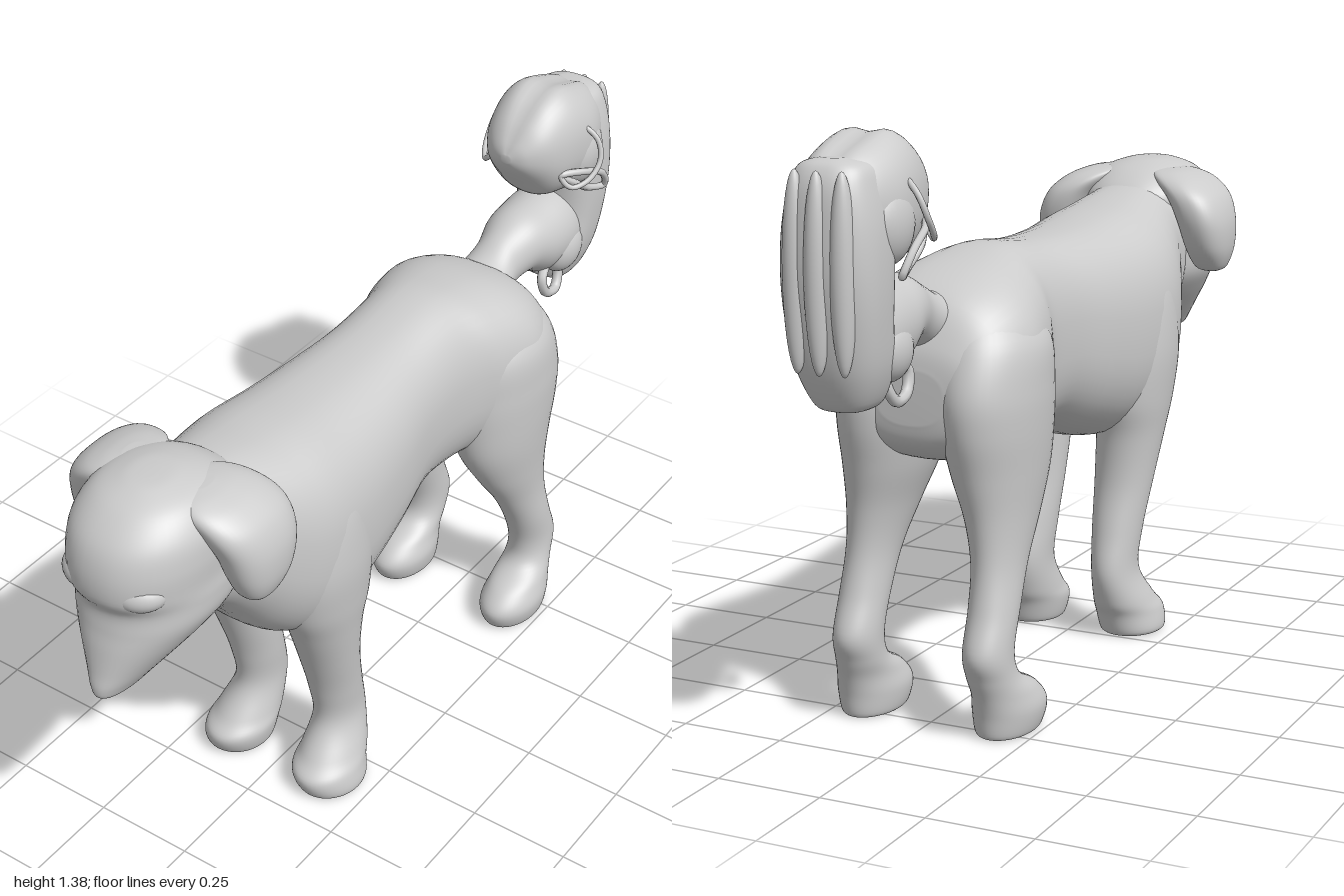
import * as THREE from 'three';

const material = new THREE.MeshStandardMaterial({ color: 0xcccccc, side: THREE.DoubleSide });

// Smooth value between rows i and i+1 of one column
function spline(rows, i, f, k) {
  const at = (n) => rows[Math.min(rows.length - 1, Math.max(0, n))][k];
  const a = at(i - 1), b = at(i), c = at(i + 1), d = at(i + 2);
  return b + 0.5 * f * (c - a + f * (2 * a - 5 * b + 4 * c - d + f * (3 * (b - c) + d - a)));
}

// Closed skin through oval sections along 'y' or 'z', given in ascending order.
// Row: [position along axis, low, high (z or y), x low, x high]
// power below 1 squares the oval; groove dents the middle of the high side
function loft(axis, rows, { power = 1, groove = 0 } = {}) {
  const sides = 48, steps = 6, pos = [], index = [];
  const put = (x, v, t) => (axis === 'y' ? pos.push(x, t, v) : pos.push(x, v, t));
  const shape = (n) => Math.sign(n) * Math.abs(n) ** power;
  const rings = (rows.length - 1) * steps + 1;
  for (let r = 0; r < rings; r++) {
    const i = Math.min(rows.length - 2, Math.floor(r / steps)), f = r / steps - i;
    const [t, v0, v1, x0, x1] = [0, 1, 2, 3, 4].map((k) => spline(rows, i, f, k));
    for (let j = 0; j < sides; j++) {
      const a = (j / sides) * Math.PI * 2;
      const s = 1 - groove * Math.max(0, Math.sin(a)) ** 40;
      put((x0 + x1) / 2 + ((x1 - x0) / 2) * shape(Math.cos(a)),
        (v0 + v1) / 2 + ((v1 - v0) / 2) * shape(Math.sin(a)) * s, t);
    }
  }
  const face = (a, b, c) => (axis === 'y' ? index.push(a, c, b) : index.push(a, b, c));
  for (let r = 0; r < rings - 1; r++) {
    for (let j = 0; j < sides; j++) {
      const a = r * sides + j, b = r * sides + ((j + 1) % sides);
      face(a, b, a + sides);
      face(b, b + sides, a + sides);
    }
  }
  // end caps
  const last = (rings - 1) * sides, c0 = rings * sides;
  for (const row of [rows[0], rows[rows.length - 1]]) {
    put((row[3] + row[4]) / 2, (row[1] + row[2]) / 2, row[0]);
  }
  for (let j = 0; j < sides; j++) {
    const n = (j + 1) % sides;
    face(c0, n, j);
    face(c0 + 1, last + j, last + n);
  }
  const g = new THREE.BufferGeometry();
  g.setAttribute('position', new THREE.Float32BufferAttribute(pos, 3));
  g.setIndex(index);
  g.computeVertexNormals();
  return g;
}

const centred = (rows) => rows.map(([t, a, b, w]) => [t, a, b, -w, w]);
const sided = (rows, s) => rows.map(([t, a, b, x0, x1]) => (s > 0 ? [t, a, b, x0, x1] : [t, a, b, -x1, -x0]));

export function createModel() {
  const model = new THREE.Group();
  const add = (name, geometry) => {
    const mesh = new THREE.Mesh(geometry, material);
    mesh.name = name;
    model.add(mesh);
    return mesh;
  };
  const ball = (name, size, place) => {
    const mesh = add(name, new THREE.SphereGeometry(1, 28, 18));
    mesh.scale.set(...size);
    mesh.position.set(...place);
    return mesh;
  };

  // Trunk from rump over a deep chest to the neck
  add('body', loft('z', centred([
    [-0.59, 0.72, 0.84, 0.08], [-0.575, 0.67, 0.9, 0.15], [-0.52, 0.63, 0.99, 0.2], [-0.42, 0.61, 1.04, 0.233],
    [-0.3, 0.6, 1.065, 0.21], [-0.2, 0.6, 1.075, 0.175], [-0.05, 0.61, 1.06, 0.173], [0.1, 0.56, 1.055, 0.197],
    [0.25, 0.52, 1.06, 0.217], [0.38, 0.52, 1.075, 0.225], [0.46, 0.53, 1.085, 0.215], [0.53, 0.585, 1.098, 0.19],
    [0.6, 0.675, 1.112, 0.16], [0.68, 0.755, 1.13, 0.14], [0.8, 0.8, 1.1, 0.08],
  ]), { power: 0.82 }));

  // Head with brow and drooping muzzle
  add('head', loft('y', centred([
    [0.69, 0.86, 0.96, 0.015], [0.695, 0.8, 0.993, 0.035], [0.72, 0.74, 1.0, 0.055], [0.76, 0.69, 0.992, 0.085],
    [0.82, 0.62, 0.98, 0.128], [0.87, 0.58, 0.968, 0.156], [0.92, 0.57, 0.962, 0.163], [0.965, 0.56, 0.983, 0.162],
    [1.03, 0.56, 0.98, 0.165], [1.09, 0.57, 0.955, 0.157], [1.14, 0.63, 0.9, 0.12], [1.165, 0.7, 0.84, 0.06],
    [1.17, 0.75, 0.8, 0.015],
  ]), { power: 0.92 }));

  for (const s of [1, -1]) {
    const side = s > 0 ? 'left' : 'right';

    // Soft brow above the eye hollow
    ball(side + 'Brow', [0.06, 0.04, 0.045], [s * 0.075, 0.975, 0.92]).rotation.y = s * 0.5;

    // Hanging ear flap
    add(side + 'Ear', loft('y', sided([
      [0.888, 0.67, 0.71, 0.2, 0.225], [0.9, 0.64, 0.74, 0.17, 0.245], [0.95, 0.6, 0.765, 0.15, 0.262],
      [1.02, 0.577, 0.785, 0.13, 0.262], [1.08, 0.577, 0.805, 0.1, 0.24], [1.12, 0.6, 0.81, 0.06, 0.198],
      [1.142, 0.64, 0.79, 0.04, 0.15], [1.15, 0.69, 0.75, 0.06, 0.11],
    ], s), { power: 0.82 }));

    // Front leg from paw to shoulder
    add(side + 'FrontLeg', loft('y', sided([
      [0.005, 0.27, 0.41, 0.075, 0.185], [0.012, 0.25, 0.435, 0.06, 0.22], [0.06, 0.235, 0.448, 0.05, 0.215],
      [0.1, 0.215, 0.41, 0.055, 0.2], [0.18, 0.2, 0.355, 0.062, 0.175], [0.28, 0.22, 0.365, 0.055, 0.18],
      [0.4, 0.245, 0.4, 0.048, 0.195], [0.52, 0.245, 0.445, 0.045, 0.212], [0.62, 0.225, 0.485, 0.05, 0.226],
      [0.75, 0.23, 0.5, 0.06, 0.234], [0.9, 0.27, 0.46, 0.07, 0.215], [0.98, 0.3, 0.42, 0.09, 0.16],
    ], s)));

    // Hind leg from paw over hock to thigh
    add(side + 'HindLeg', loft('y', sided([
      [0.005, -0.54, -0.37, 0.12, 0.225], [0.012, -0.555, -0.345, 0.105, 0.24], [0.06, -0.562, -0.33, 0.097, 0.25],
      [0.105, -0.573, -0.37, 0.105, 0.24], [0.15, -0.59, -0.45, 0.11, 0.225], [0.21, -0.608, -0.465, 0.11, 0.22],
      [0.3, -0.575, -0.435, 0.108, 0.22], [0.4, -0.553, -0.38, 0.1, 0.218], [0.5, -0.555, -0.31, 0.075, 0.225],
      [0.6, -0.575, -0.255, 0.04, 0.235], [0.7, -0.598, -0.235, 0.02, 0.242], [0.79, -0.6, -0.23, 0.01, 0.243],
      [0.89, -0.565, -0.24, 0.01, 0.232], [0.97, -0.51, -0.29, 0.03, 0.18],
    ], s)));

    // Small rounded swellings beside the tail end
    ball(side + 'TailCheek', [0.055, 0.09, 0.08], [s * 0.075, 1.2, -0.82]);
    ball(side + 'TailSwelling', [0.05, 0.07, 0.07], [s * 0.06, 0.93, -0.79]);

    // Thin straps looping out from the tail end
    const strap = (name, points, radius) => add(name, new THREE.TubeGeometry(
      new THREE.CatmullRomCurve3(points.map(([x, y, z]) => new THREE.Vector3(s * x, y, z)), true), 60, radius, 8, true));
    strap(side + 'UpperStrap', [[0.1, 1.29, -0.78], [0.14, 1.26, -0.8], [0.158, 1.21, -0.79],
      [0.15, 1.17, -0.75], [0.125, 1.16, -0.71], [0.1, 1.19, -0.7]], 0.007);
    strap(side + 'LowerStrap', [[0.1, 1.19, -0.7], [0.135, 1.185, -0.76], [0.145, 1.15, -0.83],
      [0.135, 1.1, -0.86], [0.12, 1.11, -0.81], [0.12, 1.15, -0.75]], 0.009);
    strap(side + 'BottomLoop', [[0.05, 0.9, -0.75], [0.06, 0.87, -0.705], [0.065, 0.825, -0.72],
      [0.065, 0.815, -0.765], [0.055, 0.86, -0.79]], 0.013);
  }

  // Tail stem
  add('tailStem', loft('z', centred([
    [-0.88, 0.83, 1.07, 0.08], [-0.8, 0.85, 1.08, 0.1], [-0.72, 0.87, 1.075, 0.098], [-0.65, 0.905, 1.068, 0.083],
    [-0.58, 0.895, 1.04, 0.065], [-0.52, 0.87, 1.01, 0.075], [-0.45, 0.86, 1.0, 0.08],
  ])));

  // Rounded tail end, grooved down the middle
  add('tailEnd', loft('z', centred([
    [-0.94, 1.16, 1.3, 0.05], [-0.9, 1.1, 1.345, 0.095], [-0.83, 1.08, 1.375, 0.12], [-0.76, 1.09, 1.393, 0.12],
    [-0.7, 1.11, 1.375, 0.108], [-0.65, 1.165, 1.335, 0.085], [-0.615, 1.21, 1.29, 0.05], [-0.6, 1.24, 1.26, 0.012],
  ]), { power: 0.9, groove: 0.1 }));

  // Upright lump at the end of the tail
  add('tailLump', loft('y', centred([
    [0.81, -0.89, -0.82, 0.03], [0.825, -0.92, -0.78, 0.065], [0.9, -0.955, -0.77, 0.095], [1.0, -0.975, -0.79, 0.108],
    [1.1, -0.985, -0.79, 0.113], [1.2, -0.982, -0.78, 0.11], [1.28, -0.972, -0.78, 0.095], [1.325, -0.95, -0.8, 0.075],
    [1.34, -0.92, -0.84, 0.03],
  ]), { power: 0.75 }));

  // Raised ribs down the back of the lump
  for (const x of [-0.055, 0, 0.055]) {
    ball('tailRib', [0.028, 0.21, 0.03], [x, 1.11, -0.968 + Math.abs(x) * 0.15]);
  }
  return model;
}
